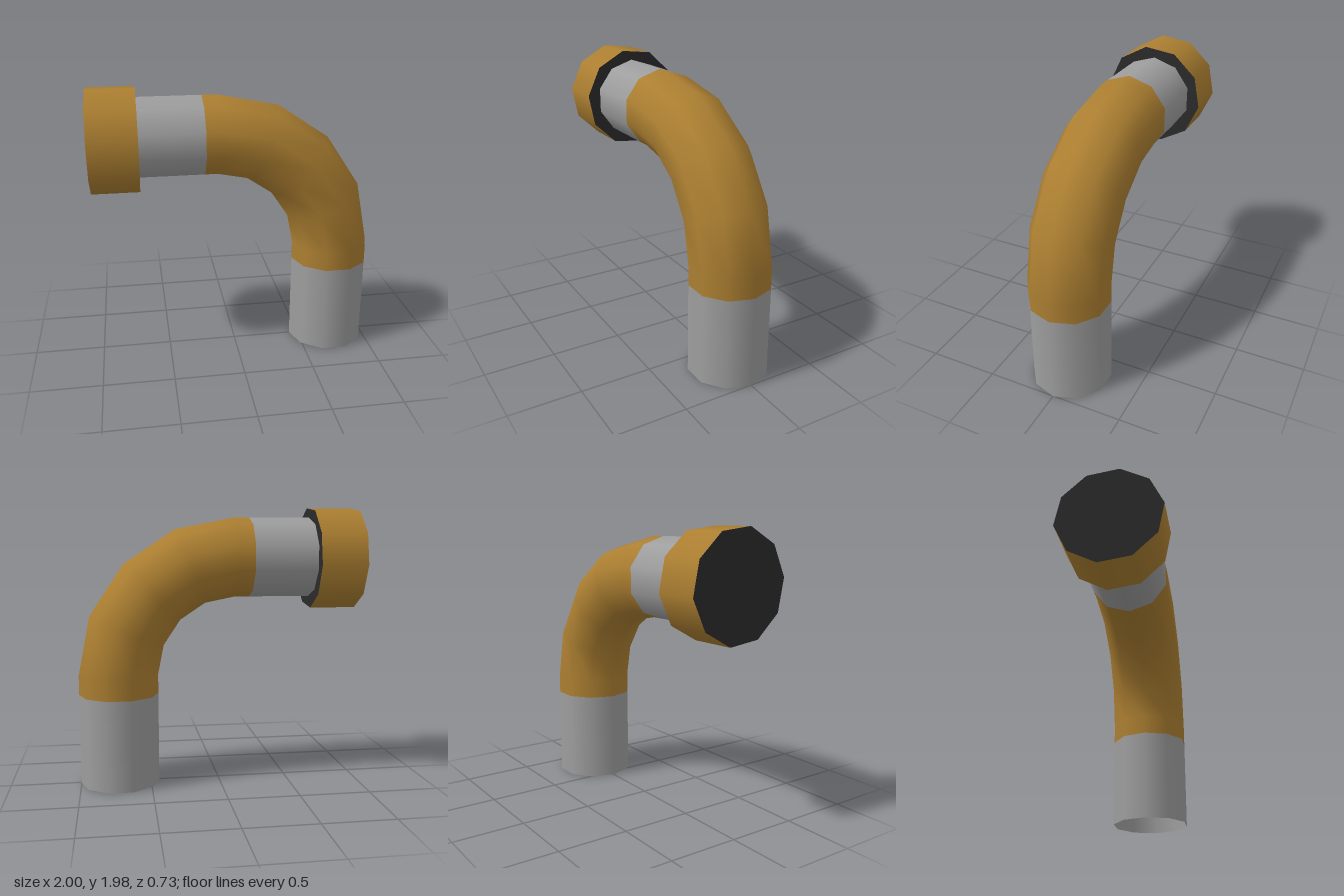
import * as THREE from 'three';

const SIDES = 10;
const PIPE_R = 0.283, CAP_R = 0.366;
const BEND = { x: -0.12, y: 0.785, r: 0.84 }; // centre and radius of the elbow
const TOP_Y = BEND.y + BEND.r, DOWN_X = BEND.x + BEND.r;

// Smooth open tube through rings { x, y, p }; p turns from 0 (along +x) to 90 degrees (down)
function loft(rings, radius, startAngle = 0) {
  const pos = [], nor = [], idx = [];
  rings.forEach(({ x, y, p = 0 }, k) => {
    for (let j = 0; j <= SIDES; j++) {
      const a = startAngle + (j / SIDES) * Math.PI * 2;
      const n = [Math.cos(a) * Math.sin(p), Math.cos(a) * Math.cos(p), Math.sin(a)];
      pos.push(x + n[0] * radius, y + n[1] * radius, n[2] * radius);
      nor.push(...n);
      if (k < rings.length - 1 && j < SIDES) {
        const A = k * (SIDES + 1) + j, C = A + SIDES + 1;
        idx.push(A, A + 1, C, A + 1, C + 1, C);
      }
    }
  });
  const g = new THREE.BufferGeometry();
  g.setAttribute('position', new THREE.Float32BufferAttribute(pos, 3));
  g.setAttribute('normal', new THREE.Float32BufferAttribute(nor, 3));
  g.setIndex(idx);
  return g;
}

export function createModel() {
  const material = (name, color) => {
    const m = new THREE.MeshStandardMaterial({ color, side: THREE.DoubleSide });
    m.name = name;
    return m;
  };
  const ochre = material('ochre', 0xac7f31);
  const grey = material('grey', 0x9e9e9e);
  const black = material('black', 0x2b2b2b);

  const group = new THREE.Group();
  group.name = 'pipeElbow';
  const add = (name, geometry, mat) => {
    const mesh = new THREE.Mesh(geometry, mat);
    mesh.name = name;
    group.add(mesh);
    return mesh;
  };

  const down = Math.PI / 2;
  const upperJoint = { x: -0.225, y: TOP_Y };
  const lowerJoint = { x: DOWN_X, y: 0.65, p: down };

  // Four-segment elbow with short straight ends
  const elbow = [upperJoint];
  for (let i = 0; i <= 4; i++) {
    const p = (i / 4) * down;
    elbow.push({ x: BEND.x + Math.sin(p) * BEND.r, y: BEND.y + Math.cos(p) * BEND.r, p });
  }
  elbow.push(lowerJoint);
  add('elbow', loft(elbow, PIPE_R), ochre);

  // Grey straight pipes, the lower one open at its foot
  add('upperPipe', loft([{ x: -0.67, y: TOP_Y }, upperJoint], PIPE_R), grey);
  add('lowerPipe', loft([lowerJoint, { x: DOWN_X, y: 0, p: down }], PIPE_R), grey);

  // End collar, slightly twisted against the pipe, with black faces
  const twist = THREE.MathUtils.degToRad(11);
  const collarY = 1.62;
  add('collar', loft([{ x: -1, y: collarY }, { x: -0.67, y: collarY }], CAP_R, twist), ochre);
  for (const [name, x, s] of [['collarInnerFace', -0.67, 1], ['collarEndFace', -1, -1]]) {
    const start = THREE.MathUtils.degToRad(-7 * s);
    const face = add(name, new THREE.CircleGeometry(CAP_R, SIDES, start), black);
    face.rotation.y = s * Math.PI / 2;
    face.position.set(x, collarY, 0);
  }
  return group;
}
